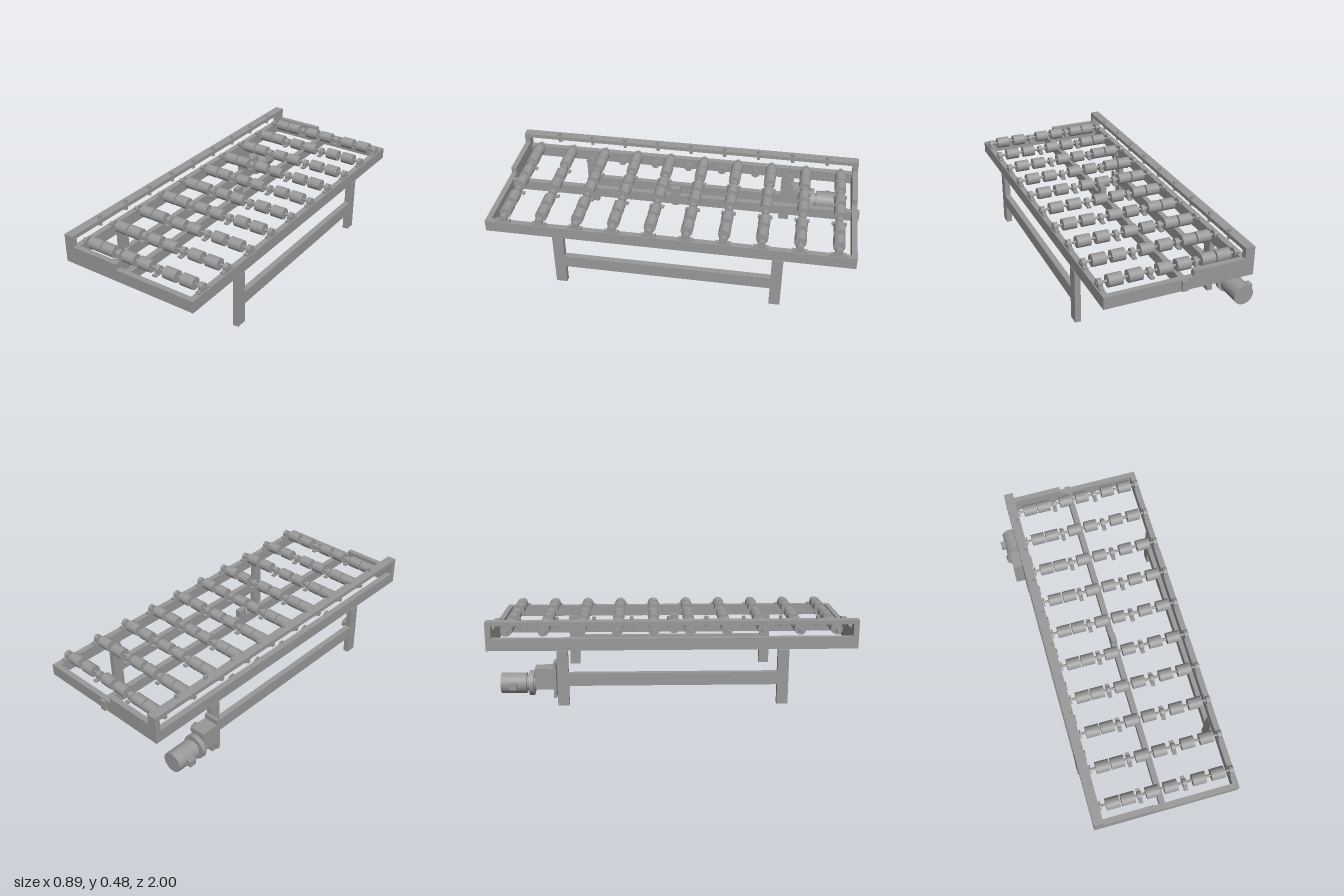
import * as THREE from 'three';

const mat = new THREE.MeshStandardMaterial({ color: 0x999999 });

export function createModel() {
  const model = new THREE.Group();

  // box given by its min and max on each axis
  const box = (name, x0, x1, y0, y1, z0, z1, parent = model) => {
    const m = new THREE.Mesh(new THREE.BoxGeometry(x1 - x0, y1 - y0, z1 - z0), mat);
    m.position.set((x0 + x1) / 2, (y0 + y1) / 2, (z0 + z1) / 2);
    m.name = name;
    parent.add(m);
  };
  // cylinder along an axis, from a to b; (u, v) are the other two coordinates in xyz order
  const rod = (name, axis, a, b, u, v, r, parent = model, seg = 24) => {
    const g = new THREE.CylinderGeometry(r, r, b - a, seg);
    const c = (a + b) / 2;
    if (axis === 'x') g.rotateZ(Math.PI / 2);
    if (axis === 'z') g.rotateX(Math.PI / 2);
    const m = new THREE.Mesh(g, mat);
    if (axis === 'x') m.position.set(c, u, v);
    else if (axis === 'y') m.position.set(u, c, v);
    else m.position.set(u, v, c);
    m.name = name;
    parent.add(m);
  };
  // bearing on a wide foot: side profile (z, y) extruded across x
  const pillowBlock = (name, x0, x1, yBase, y, z, r, parent) => {
    const foot = yBase - y, top = foot + 0.01, w = 0.04;
    const s = new THREE.Shape();
    s.moveTo(-w, foot);
    s.lineTo(w, foot);
    s.lineTo(w, top);
    s.lineTo(r, top);
    s.lineTo(r, 0);
    s.absarc(0, 0, r, 0, Math.PI, false);
    s.lineTo(-r, top);
    s.lineTo(-w, top);
    const g = new THREE.ExtrudeGeometry(s, { depth: x1 - x0, bevelEnabled: false, curveSegments: 12 });
    g.rotateY(Math.PI / 2);
    const m = new THREE.Mesh(g, mat);
    m.position.set(x0, y, z);
    m.name = name;
    parent.add(m);
  };

  // bed frame
  box('driveSideRail', -0.353, -0.32, 0.31, 0.375, -0.985, 0.995);
  box('openSideRail', 0.411, 0.4425, 0.31, 0.375, -0.985, 0.995);
  box('centreRail', 0.011, 0.042, 0.312, 0.37, -1, 0.97);

  // stepped end plates with a tall post under the guard rail
  const plate = new THREE.Shape();
  [[-0.353, 0.31], [0.4425, 0.31], [0.4425, 0.375], [-0.023, 0.375], [-0.023, 0.408],
    [-0.301, 0.408], [-0.301, 0.467], [-0.353, 0.467]]
    .forEach(([x, y], i) => (i ? plate.lineTo(x, y) : plate.moveTo(x, y)));
  for (const [name, z] of [['frontEndPlate', 0.97], ['rearEndPlate', -0.988]]) {
    const m = new THREE.Mesh(new THREE.ExtrudeGeometry(plate, { depth: 0.03, bevelEnabled: false }), mat);
    m.position.z = z;
    m.name = name;
    model.add(m);
  }

  // raised guard rail with its pins
  box('guardRail', -0.353, -0.301, 0.445, 0.467, -0.985, 0.995);
  for (let i = 0; i < 9; i++) rod('guardPin', 'y', 0.427, 0.485, -0.314, 0.782 - i * 0.199, 0.01, model, 16);

  // centre support bracket with a rounded foot
  box('centreBracket', 0.011, 0.042, 0.33, 0.415, -0.003, 0.047);
  rod('centreBracketFoot', 'x', 0.011, 0.042, 0.338, 0.022, 0.036);

  // ten roller rows
  const rollerSpans = [[-0.263, -0.188], [-0.18, -0.106], [-0.045, 0.027],
    [0.053, 0.126], [0.208, 0.281], [0.311, 0.385]];
  for (let i = 0; i < 10; i++) {
    const z = 0.9 - i * 0.199, y = 0.397;
    const row = new THREE.Group();
    row.name = 'rollerRow';
    model.add(row);
    rod('shaft', 'x', -0.308, 0.44, y, z, 0.007, row, 16);
    for (const [a, b] of rollerSpans) rod('roller', 'x', a, b, y, z, 0.032, row, 32);
    pillowBlock('innerBearing', -0.091, -0.069, 0.373, y, z, 0.021, row);
    pillowBlock('middleBearing', 0.155, 0.177, 0.373, y, z, 0.021, row);
    pillowBlock('endBearing', 0.413, 0.436, 0.375, y, z, 0.021, row);
    rod('rowSprocket', 'x', -0.295, -0.289, y, z, 0.024, row);
    rod('sprocketHub', 'x', -0.32, -0.295, y, z, 0.012, row);
  }

  // idler sprockets along the chain line, the outer two set lower beside the legs
  for (let i = -3; i <= 3; i++) {
    const z = i * 0.2, y = Math.abs(i) === 3 ? 0.317 : 0.335;
    rod('idlerSprocket', 'x', -0.297, -0.291, y, z, 0.024);
    rod('idlerHub', 'x', -0.32, -0.297, y, z, 0.014);
  }

  // legs and their stretchers
  for (const [x0, x1] of [[-0.353, -0.322], [0.41, 0.4425]]) {
    box('frontLeg', x0, x1, 0, 0.306, 0.57, 0.63);
    box('rearLeg', x0, x1, 0, 0.306, -0.615, -0.555);
    box('legStretcher', x0, x1, 0.112, 0.182, -0.555, 0.57);
  }

  // return sprocket low on the front drive-side leg
  rod('returnSprocket', 'x', -0.297, -0.291, 0.18, 0.6, 0.027);
  rod('returnHub', 'x', -0.322, -0.297, 0.18, 0.6, 0.014);

  // gear motor hung behind the rear drive-side leg
  const drive = new THREE.Group();
  drive.name = 'gearMotor';
  model.add(drive);
  box('mountPlate', -0.407, -0.322, 0.062, 0.255, -0.63, -0.615, drive);
  box('gearbox', -0.405, -0.32, 0.11, 0.225, -0.727, -0.63, drive);
  rod('motorNeck', 'z', -0.775, -0.725, -0.364, 0.137, 0.04, drive);
  rod('motorFlange', 'z', -0.758, -0.733, -0.364, 0.137, 0.066, drive, 40);
  rod('motorBody', 'z', -0.908, -0.773, -0.364, 0.137, 0.055, drive, 40);
  box('terminalBox', -0.4435, -0.4, 0.12, 0.155, -0.86, -0.82, drive);
  rod('outputShaft', 'x', -0.325, -0.289, 0.18, -0.68, 0.012, drive);
  for (const x of [-0.311, -0.296]) rod('driveSprocket', 'x', x, x + 0.006, 0.18, -0.68, 0.027, drive);

  return model;
}
